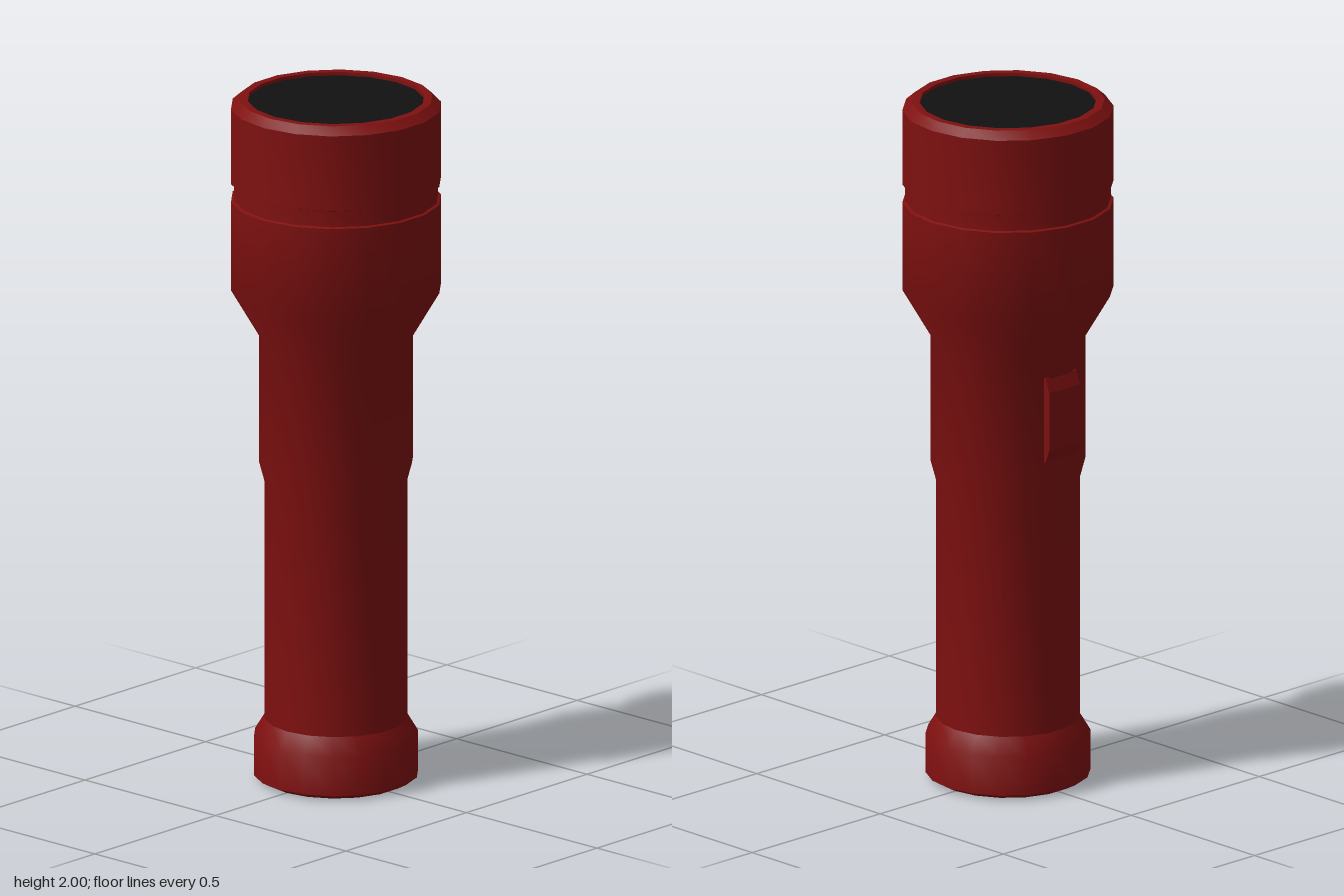
import * as THREE from 'three';
import { toCreasedNormals } from 'three/addons/utils/BufferGeometryUtils.js';

const SIDES = 18;
const red = new THREE.MeshStandardMaterial({ color: 0x7f1010 });
const black = new THREE.MeshStandardMaterial({ color: 0x111111 });

// Turned part with a vertex on +x; edges sharper than 40 degrees stay crisp
function turned(name, profile) {
  const points = profile.map(([r, y]) => new THREE.Vector2(r, y));
  const geometry = new THREE.LatheGeometry(points, SIDES, Math.PI / SIDES);
  const mesh = new THREE.Mesh(toCreasedNormals(geometry, 0.7), red);
  mesh.name = name;
  return mesh;
}

export function createModel() {
  const group = new THREE.Group();
  group.name = 'flashlight';

  // Tail cap with a shallow recess underneath
  group.add(turned('tailCap', [
    [0, 0.008], [0.187, 0.008], [0.187, 0], [0.205, 0],
    [0.233, 0.015], [0.233, 0.13], [0.203, 0.18],
  ]));

  // Slim handle, thicker switch section and flared head
  group.add(turned('body', [
    [0.203, 0.18], [0.203, 0.88], [0.219, 0.94], [0.219, 1.31],
    [0.298, 1.445], [0.298, 1.705], [0.29, 1.708],
  ]));

  // Groove, bezel and the rim around the lens
  group.add(turned('bezel', [
    [0.29, 1.708], [0.29, 1.755], [0.298, 1.758], [0.298, 1.978],
    [0.273, 2], [0.25, 2], [0.25, 1.99],
  ]));

  // Lens
  const lens = new THREE.Mesh(new THREE.CircleGeometry(0.25, SIDES), black);
  lens.name = 'lens';
  lens.rotation.x = -Math.PI / 2;
  lens.position.y = 1.99;
  group.add(lens);

  // Switch on the back: a raised pad with sloping ends
  const width = 0.12;
  const side = new THREE.Shape([
    [0.18, 0.99], [0.214, 0.99], [0.23, 1.03], [0.23, 1.2], [0.214, 1.24], [0.18, 1.24],
  ].map(([x, y]) => new THREE.Vector2(x, y)));
  const pad = new THREE.ExtrudeGeometry(side, { depth: width, bevelEnabled: false });
  pad.translate(0, 0, -width / 2);
  pad.rotateY(Math.PI / 2);
  const button = new THREE.Mesh(pad, red);
  button.name = 'switchButton';
  group.add(button);

  return group;
}
